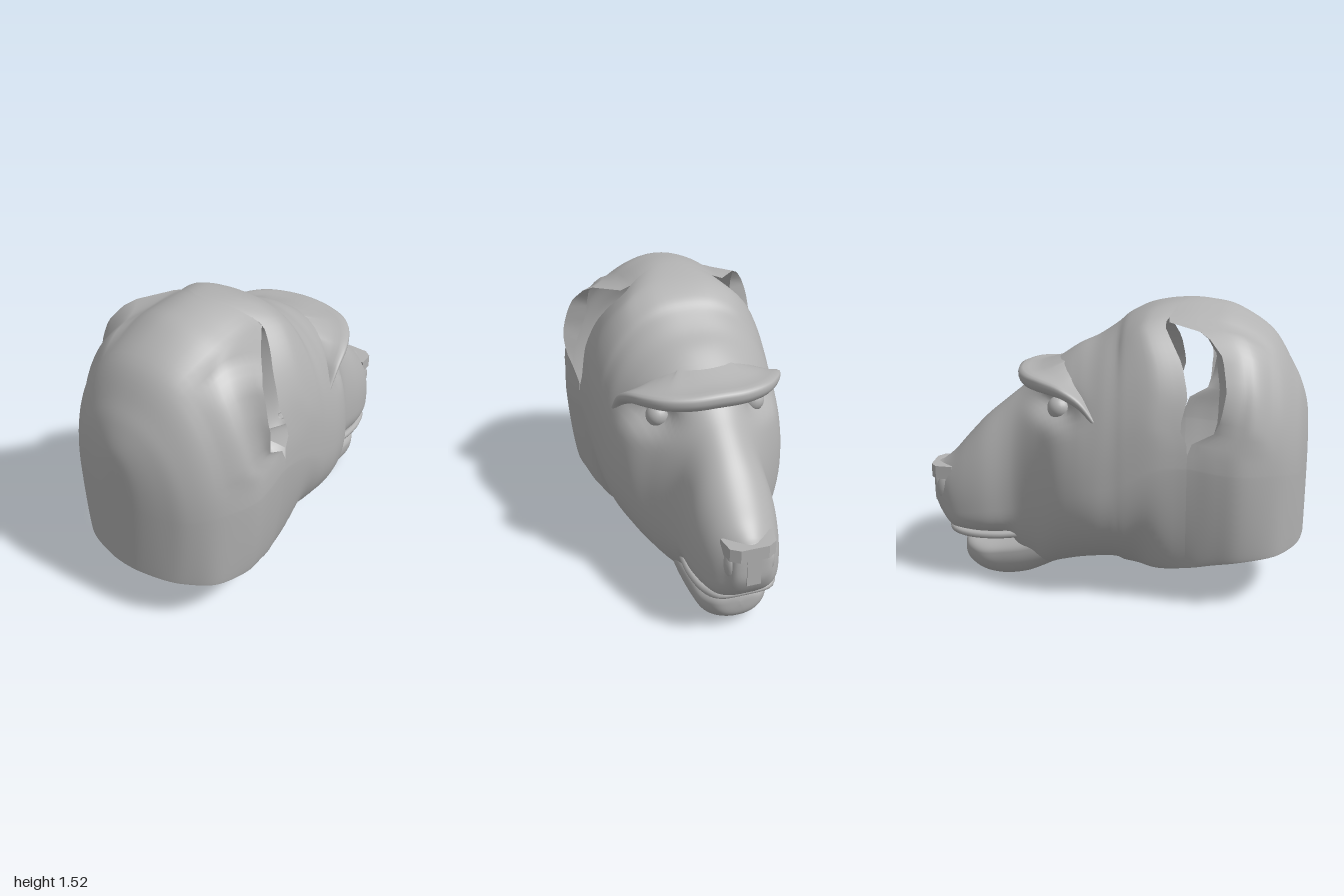
import * as THREE from 'three';

// Cross-sections from the back of the skull to the snout:
// z, top y, widest y, bottom y, half width, half width at the bottom rim
const SKULL = [
  [.992, .85, .7, .3, 0, 0],
  [.985, .98, .7, .3, .12, .09],
  [.95, 1.1, .7, .297, .25, .23],
  [.9, 1.2, .7, .293, .36, .33],
  [.8, 1.36, .72, .285, .46, .44],
  [.63, 1.475, .73, .265, .53, .48],
  [.5, 1.51, .74, .24, .525, .46],
  [.36, 1.52, .76, .205, .505, .42],
];
const FACE = [
  [.2, 1.495, .75, .165, .51, .32],
  [.07, 1.44, .68, .105, .5, .02],
  [0, 1.385, .65, .14, .49, 0],
  [-.1, 1.32, .62, .14, .48, 0],
  [-.2, 1.275, .62, .125, .455, 0],
  [-.3, 1.21, .6, .1, .41, 0],
  [-.4, 1.14, .55, .07, .33, 0],
  [-.5, 1.05, .5, .13, .265, 0],
  [-.58, .985, .47, .245, .24, 0],
  [-.7, .885, .45, .255, .23, 0],
  [-.8, .78, .43, .26, .205, 0],
  [-.88, .69, .42, .275, .17, 0],
  [-.94, .64, .45, .33, .12, 0],
  [-.985, .61, .52, .42, .08, 0],
  [-.99, .54, .52, .5, 0, 0],
];
const JAW = [
  [-.25, .32, .26, .13, .22, 0],
  [-.4, .3, .22, .055, .22, 0],
  [-.5, .28, .19, .015, .21, 0],
  [-.62, .25, .17, 0, .195, 0],
  [-.72, .237, .16, .02, .18, 0],
  [-.79, .235, .165, .06, .14, 0],
  [-.825, .22, .17, .1, .09, 0],
  [-.835, .18, .17, .16, 0, 0],
];
const HEAD = [...SKULL, ...FACE];
const SEAM = SKULL.length - 1; // the ear openings lie on this section
const HALF = 44;
const STEPS = 5;

// Piecewise linear function through [input, output] pairs
function ramp(points, v) {
  if (v <= points[0][0]) return points[0][1];
  for (let i = 1; i < points.length; i++) {
    const [a, fa] = points[i - 1], [b, fb] = points[i];
    if (v <= b) return fa + (fb - fa) * (v - a) / (b - a);
  }
  return points[points.length - 1][1];
}

// Ear opening: shift of its front and rear edge in z, and flare in x, by height
const FRONT_EDGE = [[.87, 0], [.95, -.04], [1.1, 0], [1.25, -.03], [1.42, -.12], [1.5, -.05], [1.52, 0]];
const REAR_EDGE = [[.87, 0], [.92, .12], [1.0, .155], [1.15, .18], [1.3, .16], [1.4, .08], [1.435, -.115], [1.5, -.05], [1.52, 0]];
const FLARE = [[.9, 0], [1.0, .05], [1.1, .085], [1.3, .12], [1.4, .125], [1.44, 0]];
// Roundness of the head's sections above and below their widest height, along z
const UPPER = [[-.2, .95], [-.05, .85], [.2, .85], [.36, .95]];
const LOWER = [[-.6, .62], [-.45, .9], [0, .9], [.35, 1.5]];

// Smooth interpolation between stations
function sectionAt(stations, u) {
  const last = stations.length - 1;
  const i = Math.min(Math.floor(u), last - 1), t = u - i;
  const row = k => stations[Math.max(0, Math.min(last, k))];
  return row(i).map((b, c) => {
    const a = row(i - 1)[c], d = row(i + 1)[c], e = row(i + 2)[c];
    return b + .5 * t * (d - a + t * (2 * a - 5 * b + 4 * d - e + t * (3 * (b - d) + e - a)));
  });
}

// One ring, from the left rim over the crown to the right rim
function ring(stations, u, lower) {
  const [z, top, mid, bot, w0, wb0] = sectionAt(stations, u);
  const w = Math.max(0, w0), wb = Math.max(0, wb0);
  const up = ramp(UPPER, z), low = ramp(lower, z);
  const points = [];
  for (let j = -HALF; j <= HALF; j++) {
    const k = Math.abs(j) / HALF * 2, side = j < 0 ? 1 : -1;
    const a = Math.min(k, 2 - k) * Math.PI / 2;
    const s = Math.sin(a), c = Math.max(0, Math.cos(a));
    const x = k <= 1 ? w * s ** up : wb + (w - wb) * s ** low;
    const y = k <= 1 ? mid + (top - mid) * c ** up : mid - (mid - bot) * c ** low;
    points.push(new THREE.Vector3(side * x, y, z));
  }
  return points;
}

function rings(stations, from, to, lower) {
  return Array.from({ length: (to - from) * STEPS + 1 }, (_, i) => ring(stations, from + i / STEPS, lower));
}

// Surface through a list of equally long rows of points
function loft(rows) {
  const n = rows[0].length, index = [];
  for (let i = 0; i < rows.length - 1; i++) {
    for (let j = 0; j < n - 1; j++) {
      const a = i * n + j, b = a + n;
      index.push(a, b, a + 1, a + 1, b, b + 1);
    }
  }
  const g = new THREE.BufferGeometry().setFromPoints(rows.flat());
  g.setIndex(index);
  g.computeVertexNormals();
  return g;
}

export function createModel() {
  const model = new THREE.Group();
  const grey = new THREE.MeshStandardMaterial({ color: 0xb2b2b2, side: THREE.DoubleSide });
  grey.name = 'grey';
  const add = (name, geometry) => {
    const mesh = new THREE.Mesh(geometry, grey);
    mesh.name = name;
    model.add(mesh);
    return mesh;
  };
  const V = (x, y, z) => new THREE.Vector3(x, y, z);
  // Left-right symmetric curve from its left half and the middle point
  const mirrored = (half, middle) => new THREE.CatmullRomCurve3([
    ...half.map(p => V(...p)), V(...middle), ...half.map(([x, y, z]) => V(-x, y, z)).reverse(),
  ]);

  const seamHeights = ring(HEAD, SEAM, LOWER).map(p => p.y);

  // Back of the skull and neck, flaring out along the ears
  const backRows = rings(HEAD, 0, SEAM, LOWER);
  backRows.forEach(row => row.forEach((p, j) => {
    const d = p.z - .36, y = seamHeights[j];
    p.x += Math.sign(p.x) * ramp(FLARE, y) * Math.max(0, 1 - d / .24) ** 2;
    p.z += ramp(REAR_EDGE, y) * Math.max(0, 1 - d / .4);
  }));
  add('backOfHead', loft(backRows));

  // Face and muzzle, with hollows for the eyes
  const faceRows = rings(HEAD, SEAM, HEAD.length - 1, LOWER);
  faceRows.forEach(row => row.forEach((p, j) => {
    const hollow = Math.exp(-(((p.y - 1.0) / .06) ** 2) - ((p.z + .31) / .1) ** 2);
    const d = .36 - p.z;
    p.x -= Math.sign(p.x) * Math.min(Math.abs(p.x), hollow * .07);
    p.z += hollow * .04 + ramp(FRONT_EDGE, seamHeights[j]) * Math.max(0, 1 - d / .35);
  }));
  add('face', loft(faceRows));

  // Lower jaw and chin
  add('lowerJaw', loft(rings(JAW, 0, JAW.length - 1, [[0, .9]])));

  // Inner strips of the ears
  const edge = backRows[backRows.length - 1];
  for (const side of [1, -1]) {
    const outer = edge.filter((p, j) => p.x * side > 0 && seamHeights[j] > .88 && seamHeights[j] < 1.43);
    const inner = outer.map((p, i) => {
      const depth = Math.sin(Math.PI * i / (outer.length - 1));
      return V(p.x - side * .1 * depth, p.y, p.z - .03 * depth);
    });
    add(side > 0 ? 'leftEar' : 'rightEar', loft([outer, inner]));
  }

  // Brow ridge: a visor running from the forehead over the eyes to the temples
  const browCurve = mirrored([
    [.435, .96, -.09], [.425, 1.06, -.17], [.4, 1.12, -.27], [.345, 1.145, -.37], [.265, 1.155, -.45], [.14, 1.16, -.5],
  ], [0, 1.165, -.512]);
  const browRows = [];
  for (let i = 0; i <= 60; i++) {
    const p = browCurve.getPoint(i / 60), t = browCurve.getTangent(i / 60);
    const inward = V(t.z, 0, -t.x).normalize();
    if (inward.z < 0) inward.negate();
    const size = Math.sin(Math.PI * i / 60);
    const at = (back, up) => p.clone().addScaledVector(inward, back).add(V(0, up, 0));
    const section = new THREE.CatmullRomCurve3([
      at(.06 + .2 * size, .06 * size), at(.04 + .06 * size, .01), at(0, 0),
      at(.005, -.03 - .03 * size), at(.08 + .06 * size, -.05 - .07 * size),
    ]);
    browRows.push(section.getPoints(14));
  }
  add('browRidge', loft(browRows));

  // Eyes
  for (const side of [1, -1]) {
    add(side > 0 ? 'leftEye' : 'rightEye', new THREE.SphereGeometry(.06, 20, 14))
      .position.set(side * .25, .99, -.285);
  }

  // Upper lip
  const lipCurve = mirrored(
    [[.2, .285, -.52], [.2, .275, -.65], [.175, .275, -.79], [.13, .285, -.87]], [0, .295, -.895]);
  add('upperLip', new THREE.TubeGeometry(lipCurve, 40, .02, 10));

  // Nose: a wedge overhanging the nostrils, and the septum below
  const noseShape = new THREE.Shape([
    new THREE.Vector2(-.13, -.88), new THREE.Vector2(-.115, -.97), new THREE.Vector2(-.07, -1),
    new THREE.Vector2(.07, -1), new THREE.Vector2(.115, -.97), new THREE.Vector2(.13, -.88),
  ]);
  const nose = new THREE.ExtrudeGeometry(noseShape, { depth: .07, bevelEnabled: false });
  nose.rotateX(Math.PI / 2);
  nose.translate(0, .625, 0);
  add('nose', nose);
  add('septum', new THREE.BoxGeometry(.07, .15, .1)).position.set(0, .485, -.945);
  for (const side of [1, -1]) {
    const wing = add(side > 0 ? 'leftNostril' : 'rightNostril', new THREE.SphereGeometry(1, 14, 10));
    wing.scale.set(.035, .085, .06);
    wing.position.set(side * .095, .5, -.91);
  }

  return model;
}
